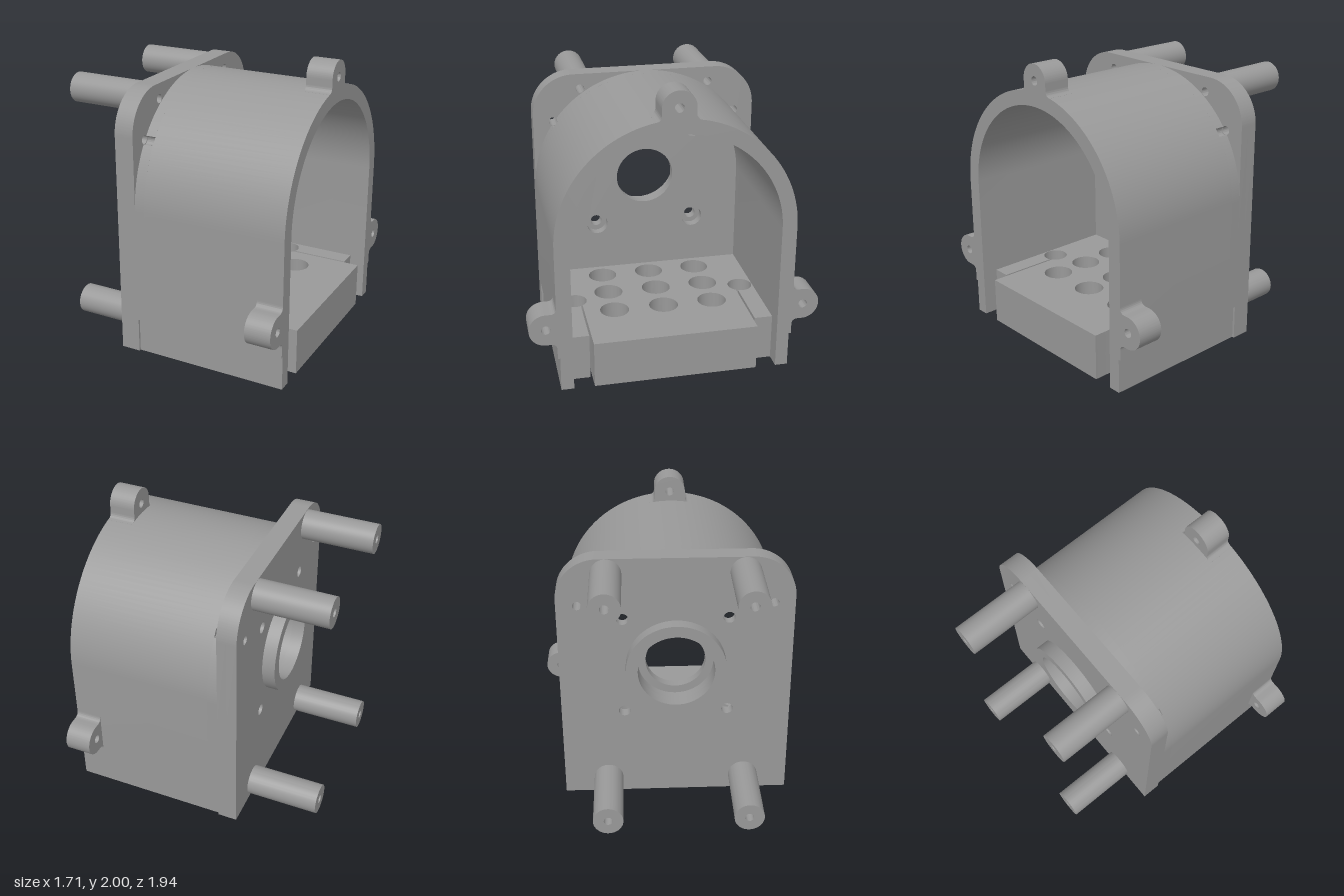
import * as THREE from 'three';
import { toCreasedNormals } from 'three/addons/utils/BufferGeometryUtils.js';

const grey = new THREE.MeshStandardMaterial({ color: 0x999999 });
grey.name = 'machined grey';
const AXIS = 1.03; // height of the bore and arch centre

// circle as a hole or a disc outline
const circle = (u, v, r, Type = THREE.Path) => {
  const p = new Type();
  p.absarc(u, v, r, 0, Math.PI * 2, false);
  return p;
};

function mesh(name, geometry) {
  const m = new THREE.Mesh(toCreasedNormals(geometry, 0.5), grey);
  m.name = name;
  return m;
}

const extrude = (shape, depth) =>
  new THREE.ExtrudeGeometry(shape, { depth, bevelEnabled: false, curveSegments: 32 });

// cross-section in (-z, y), extruded from x0 to x1
const alongX = (name, shape, x0, x1) =>
  mesh(name, extrude(shape, x1 - x0).rotateY(Math.PI / 2).translate(x0, 0, 0));

// plan in (x, -z), extruded from y0 to y1
const alongY = (name, shape, y0, y1) =>
  mesh(name, extrude(shape, y1 - y0).rotateX(-Math.PI / 2).translate(0, y0, 0));

// end plate outline with its bores
function plateShape(boreRadius, mountRadius) {
  const w = 0.79, h = 1.82, r = 0.285;
  const s = new THREE.Shape();
  s.moveTo(-w, 0);
  s.lineTo(w, 0);
  s.lineTo(w, h - r);
  s.absarc(w - r, h - r, r, 0, Math.PI / 2, false);
  s.lineTo(-w + r, h);
  s.absarc(-w + r, h - r, r, Math.PI / 2, Math.PI, false);
  s.closePath();
  s.holes.push(circle(0, AXIS, boreRadius));
  for (const side of [-1, 1]) {
    s.holes.push(circle(side * 0.455, 1.715, 0.03), circle(side * 0.65, 1.49, 0.03));
    for (const y of [0.675, 1.385]) s.holes.push(circle(side * 0.355, y, mountRadius));
  }
  return s;
}

// arched wall section; notched adds the two small round grooves
function archShape(notched) {
  const R = 0.79, r = 0.69, a = Math.atan2(0.46, 0.65), d = 0.038;
  const s = new THREE.Shape();
  s.moveTo(r, 0);
  s.lineTo(0.775, 0);
  s.lineTo(0.775, 0.24);
  s.lineTo(R, 0.24);
  s.lineTo(R, AXIS);
  let from = 0;
  if (notched) {
    for (const t of [a, Math.PI - a]) {
      s.absarc(0, AXIS, R, from, t - d, false);
      s.absarc(R * Math.cos(t), AXIS + R * Math.sin(t), 0.03, t - Math.PI / 2, t + Math.PI / 2, true);
      from = t + d;
    }
  }
  s.absarc(0, AXIS, R, from, Math.PI, false);
  s.lineTo(-R, 0.24);
  s.lineTo(-0.775, 0.24);
  s.lineTo(-0.775, 0);
  s.lineTo(-r, 0);
  s.lineTo(-r, AXIS);
  s.absarc(0, AXIS, r, Math.PI, 0, true);
  s.closePath();
  return s;
}

// screw ear pointing along +u, filleted into the wall at u = -0.07
function earShape(drop) {
  const r = 0.11, wall = -0.07 - drop, f = 0.04;
  const s = new THREE.Shape();
  s.moveTo(-0.13, -r - f);
  s.lineTo(wall, -r - f);
  s.quadraticCurveTo(wall, -r, wall + f, -r);
  s.lineTo(0, -r);
  s.absarc(0, 0, r, -Math.PI / 2, Math.PI / 2, false);
  s.lineTo(wall + f, r);
  s.quadraticCurveTo(wall, r, wall, r + f);
  s.lineTo(-0.13, r + f);
  s.closePath();
  s.holes.push(circle(0, 0, 0.03));
  return s;
}

function ear(name, u, v, angle, drop) {
  const g = extrude(earShape(drop), 0.18).rotateZ(angle).translate(u, v, 0);
  return mesh(name, g.rotateY(Math.PI / 2).translate(0.67, 0, 0));
}

// base block plan: slit on each side ending in a round relief hole
function baseShape(holeRadius) {
  const half = new THREE.Path();
  half.moveTo(0.85, 0.553);
  half.lineTo(0.331, 0.553);
  half.absarc(0.26, 0.6, 0.085, -0.585, -0.4, true);
  half.lineTo(0.74, 0.567);
  half.lineTo(0.74, 0.69);
  half.lineTo(-0.22, 0.69);
  const pts = half.getPoints(32);
  const mirrored = pts.map((p) => new THREE.Vector2(p.x, -p.y)).reverse();
  const s = new THREE.Shape([...pts, ...mirrored]);
  for (const x of [-0.085, 0.175, 0.435])
    for (const z of [-0.345, 0, 0.345]) s.holes.push(circle(x, z, holeRadius));
  return s;
}

export function createModel() {
  const model = new THREE.Group();
  model.name = 'motorHousing';

  // end plate in two layers: wide bearing seat behind, counterbores inside
  model.add(alongX('endPlateOuter', plateShape(0.26, 0.04), -0.355, -0.285));
  model.add(alongX('endPlateInner', plateShape(0.205, 0.075), -0.285, -0.22));

  // bearing collar
  const collar = circle(0, AXIS, 0.34, THREE.Shape);
  collar.holes.push(circle(0, AXIS, 0.26));
  model.add(alongX('bearingCollar', collar, -0.445, -0.355));

  // arched shell
  model.add(alongX('archNotched', archShape(true), -0.22, -0.15));
  model.add(alongX('archShell', archShape(false), -0.15, 0.85));

  // base block with counterbored holes
  model.add(alongY('baseLower', baseShape(0.055), 0, 0.17));
  model.add(alongY('baseUpper', baseShape(0.1), 0.17, 0.32));

  // screw ears
  model.add(ear('topEar', 0, 1.89, Math.PI / 2, 0.014));
  model.add(ear('backEar', 0.86, 0.46, 0, 0));
  model.add(ear('frontEar', -0.86, 0.46, Math.PI, 0));

  // standoff posts
  for (const side of [-1, 1]) {
    for (const [name, z, y] of [['upperPost', 0.455, 1.715], ['lowerPost', 0.48, 0.115]]) {
      const post = circle(side * z, y, 0.103, THREE.Shape);
      post.holes.push(circle(side * z, y, 0.03));
      model.add(alongX(name, post, -0.86, -0.355));
    }
  }
  return model;
}
